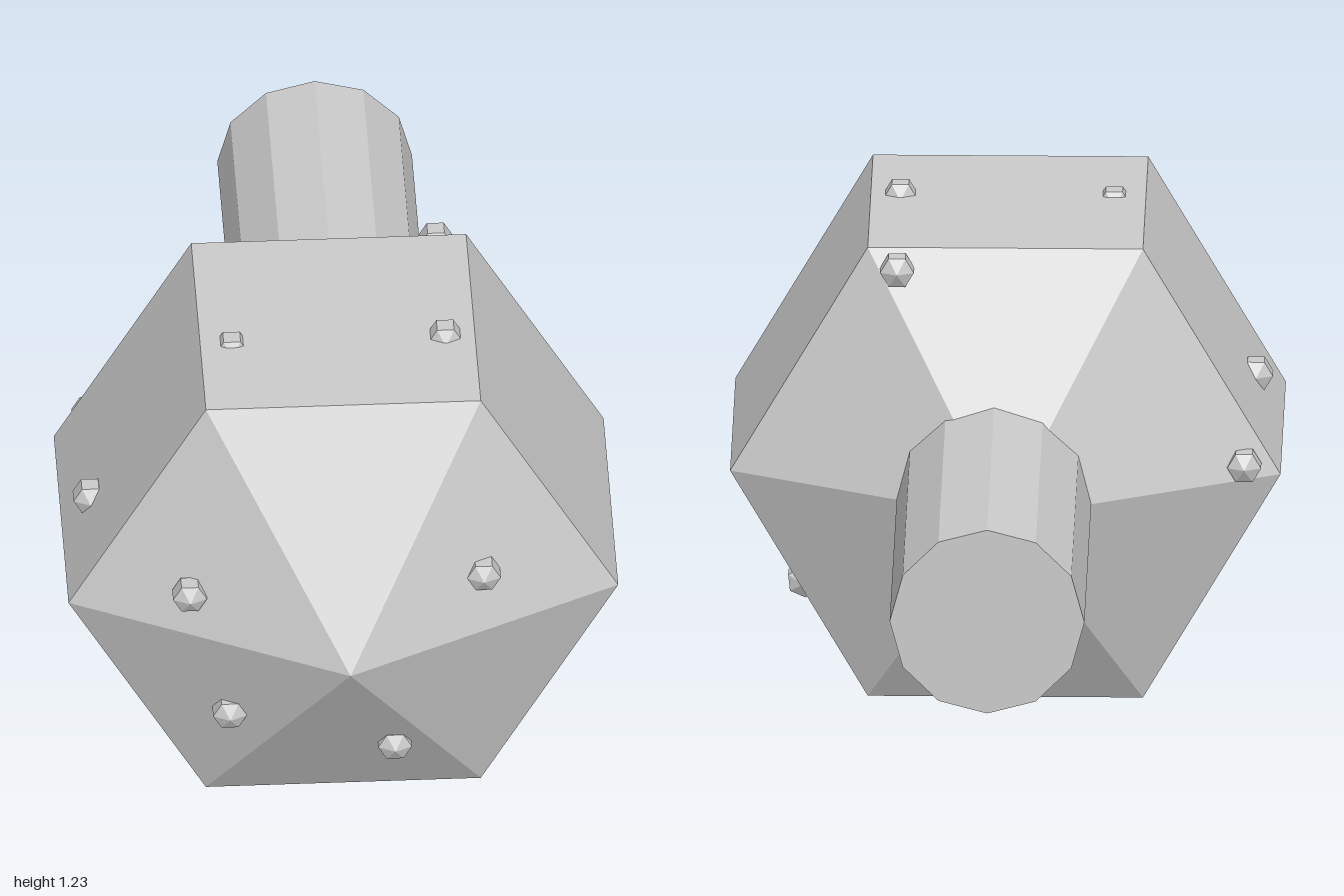
import * as THREE from 'three';

const material = new THREE.MeshStandardMaterial({ color: 0xcccccc, flatShading: true });

// Six-sided prism along z with a pointed cap at each end
function hexGem(radius) {
  const profile = [[0, -0.985], [1, -0.495], [1, 0.495], [0, 0.985]]
    .map(([r, h]) => new THREE.Vector2(r * radius, h * radius));
  return new THREE.LatheGeometry(profile, 6, Math.PI / 2).rotateX(Math.PI / 2);
}

export function createModel() {
  const group = new THREE.Group();
  const add = (name, geometry, x, y, z, roll = 0) => {
    const mesh = new THREE.Mesh(geometry, material);
    mesh.name = name;
    mesh.position.set(x, y, z);
    mesh.rotation.z = roll;
    group.add(mesh);
  };

  // Faceted head
  add('head', hexGem(0.65), 0, 0.64, 0.36);

  // Twelve-sided handle, its inner end buried in the head
  const handle = new THREE.CylinderGeometry(0.23, 0.23, 0.94, 12).rotateX(Math.PI / 2);
  add('handle', handle, 0.023, 0.64, -0.53);

  // Small studs scattered over the head: x, y, z, roll
  const studs = [
    // front cap
    [-0.37, 0.745, 0.8], [0.325, 0.78, 0.8], [-0.275, 0.39, 0.795], [0.115, 0.285, 0.8],
    // sides
    [-0.25, 1.18, 0.42], [0.255, 1.195, 0.42], [-0.585, 0.755, 0.42],
    [0.48, 0.295, 0.245, 0.42], [0.05, 0.04, 0.52, Math.PI / 6], [-0.445, 0.25, 0.45],
    // back cap
    [0.255, 1.16, 0], [-0.565, 0.675, 0], [0.055, 0.4, -0.17],
  ];
  const stud = hexGem(0.04);
  studs.forEach((s, i) => add('stud' + (i + 1), stud, ...s));

  return group;
}
